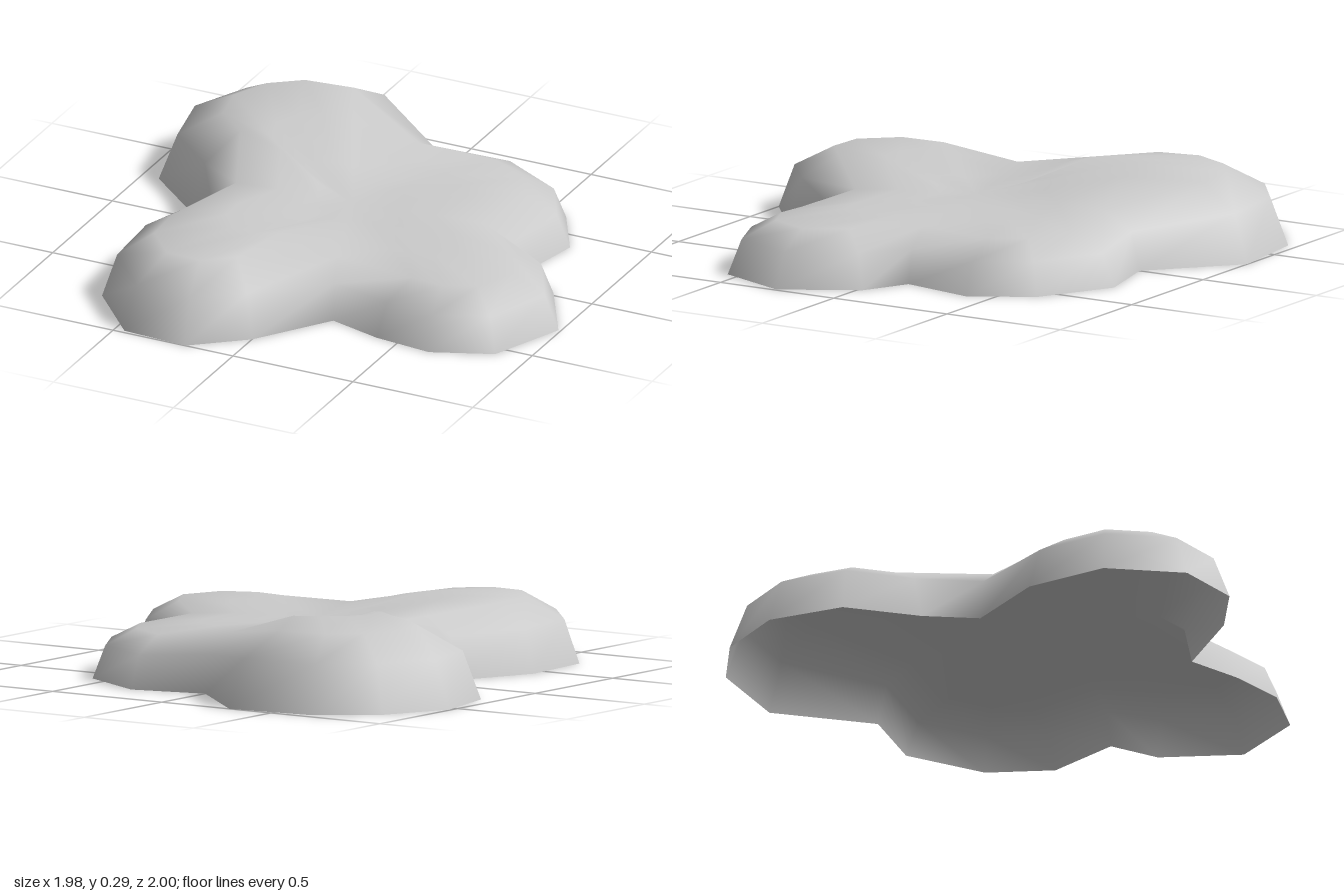
import * as THREE from 'three';

// Lobes of the puddle: centre x, centre z, crown height, rim points [x, z] counter-clockwise.
// Each list begins with the notch that separates it from the previous lobe.
const lobes = [
  { c: [-0.45, -0.48], h: 0.295, rim: [[0, -0.72], [-0.31, -1], [-0.66, -0.96], [-0.87, -0.8], [-0.99, -0.54], [-0.93, -0.25], [-0.7, -0.05]] },
  { c: [-0.3, 0.52], h: 0.27, rim: [[-0.56, 0.12], [-0.69, 0.43], [-0.67, 0.75], [-0.46, 0.985], [-0.2, 1], [0, 0.84]] },
  { c: [0.57, 0.27], h: 0.212, rim: [[0.2, 0.56], [0.41, 0.62], [0.64, 0.645], [0.87, 0.55], [0.99, 0.26], [0.83, -0.02]] },
  { c: [0.31, -0.38], h: 0.2, rim: [[0.65, -0.11], [0.71, -0.4], [0.58, -0.63], [0.29, -0.79]] },
];
const middle = { c: [0.08, 0.08], h: 0.2 };

// Height of the top skin, blended between the lobe crowns
function crown(x, z) {
  let sum = 0, total = 0;
  for (const { c, h } of [...lobes, middle]) {
    const w = Math.exp(-((x - c[0]) ** 2 + (z - c[1]) ** 2) / 0.1);
    sum += w * h;
    total += w;
  }
  return sum / total;
}

// Rings from rim to middle: pull on lobe points, pull on notches, scale, height factor
const rings = [
  [0, 0, 1, 0],
  [0.13, 0.05, 1, 0.62],
  [0.45, 0.22, 1, 0.93],
  [0.45, 0.22, 0.64, 1],
  [0.45, 0.22, 0.3, 1],
];

export function createModel() {
  const group = new THREE.Group();
  group.name = 'puddle';

  const rim = lobes.flatMap(({ c, rim: points }) =>
    points.map((p, i) => ({ p, c: i === 0 ? [0, 0] : c, notch: i === 0 })));
  const n = rim.length;
  const positions = [];
  const index = [];

  for (const [pull, notchPull, scale, lift] of rings) {
    for (const { p, c, notch } of rim) {
      const t = notch ? notchPull : pull;
      const x = (p[0] + (c[0] - p[0]) * t) * scale;
      const z = (p[1] + (c[1] - p[1]) * t) * scale;
      positions.push(x, crown(x, z) * lift, z);
    }
  }
  positions.push(0, crown(0, 0), 0);

  // Join neighbouring rings, then close the top with a fan; the underside stays open
  for (let i = 0; i < n; i++) {
    const j = (i + 1) % n;
    for (let r = 0; r < rings.length - 1; r++) {
      const a = r * n + i, b = r * n + j;
      index.push(a, b, b + n, a, b + n, a + n);
    }
    const last = (rings.length - 1) * n;
    index.push(last + i, last + j, rings.length * n);
  }

  const geometry = new THREE.BufferGeometry();
  geometry.setAttribute('position', new THREE.Float32BufferAttribute(positions, 3));
  geometry.setIndex(index);
  geometry.computeVertexNormals();

  const shell = new THREE.Mesh(geometry,
    new THREE.MeshStandardMaterial({ color: 0xcccccc, side: THREE.DoubleSide }));
  shell.name = 'puddleShell';
  group.add(shell);
  return group;
}
